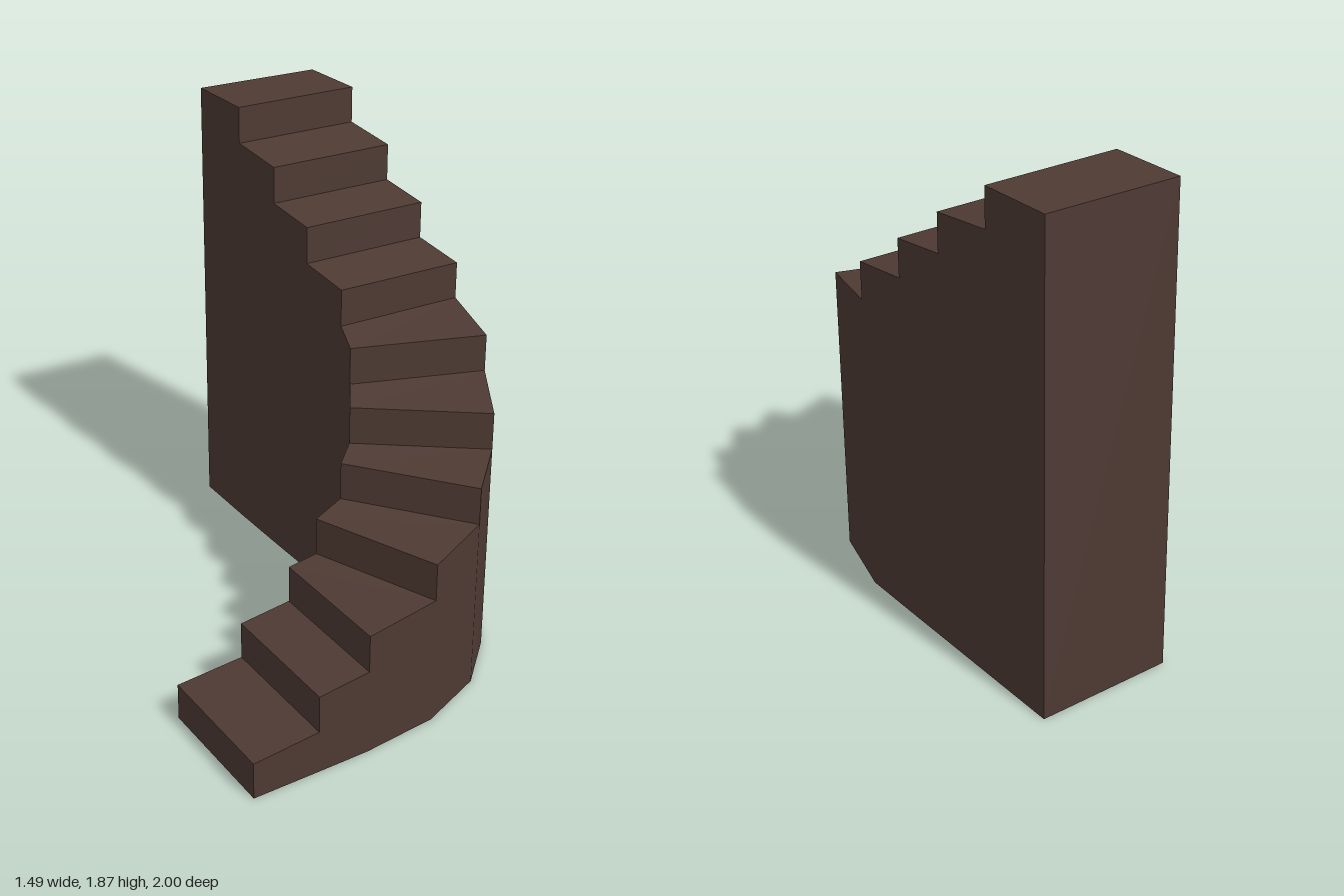
import * as THREE from 'three';

// Plan of the flight: [innerX, innerZ, outerX, outerZ] at each riser, bottom to top
const STATIONS = [
  [-0.75, 0.46, -0.75, 1.0], [-0.48, 0.46, -0.48, 0.995], [-0.27, 0.455, -0.27, 0.99],
  [-0.155, 0.46, 0.035, 0.955], [-0.02, 0.415, 0.305, 0.84], [0.07, 0.335, 0.495, 0.655],
  [0.152, 0.21, 0.66, 0.38], [0.205, 0.065, 0.742, 0.07], [0.205, -0.18, 0.743, -0.18],
  [0.203, -0.42, 0.743, -0.42], [0.203, -0.685, 0.743, -0.685], [0.207, -1.0, 0.743, -0.99],
];
const STEPS = STATIONS.length - 1;
const RISE = 0.1722;
const SLOPE = 0.024; // each tread climbs slightly towards the next riser

const frontY = (i) => 0.147 + RISE * i;
const backY = (i) => frontY(i) + (i < STEPS - 1 ? SLOPE : 0);
const inner = (i, y) => [STATIONS[i][0], y, STATIONS[i][1]];
const outer = (i, y) => [STATIONS[i][2], y, STATIONS[i][3]];

// Builds a geometry from quads; normals are flat unless given per corner
function quadGeometry(quads, normals) {
  const order = [0, 1, 2, 0, 2, 3];
  const flatten = (list) => list.flatMap((q) => order.flatMap((k) => q[k]));
  const geometry = new THREE.BufferGeometry();
  geometry.setAttribute('position', new THREE.Float32BufferAttribute(flatten(quads), 3));
  if (normals) geometry.setAttribute('normal', new THREE.Float32BufferAttribute(flatten(normals), 3));
  else geometry.computeVertexNormals();
  return geometry;
}

// Horizontal normal of a side wall, averaged over the neighbouring stations
function wallNormal(point, i, sign) {
  const sum = new THREE.Vector3();
  for (const k of [i - 1, i]) {
    if (k < 0 || k >= STEPS) continue;
    const a = point(k, 0), b = point(k + 1, 0);
    sum.add(new THREE.Vector3(a[2] - b[2], 0, b[0] - a[0]).normalize());
  }
  return sum.normalize().multiplyScalar(sign).toArray();
}

// Smooth curved wall that follows the stepped top edge
function wallGeometry(point, sign) {
  const quads = [], normals = [];
  for (let i = 0; i < STEPS; i++) {
    const quad = [point(i, 0), point(i + 1, 0), point(i + 1, backY(i)), point(i, frontY(i))];
    const n0 = wallNormal(point, i, sign), n1 = wallNormal(point, i + 1, sign);
    const normal = [n0, n1, n1, n0];
    quads.push(sign > 0 ? quad : [quad[1], quad[0], quad[3], quad[2]]);
    normals.push(sign > 0 ? normal : [n1, n0, n0, n1]);
  }
  return quadGeometry(quads, normals);
}

export function createModel() {
  const model = new THREE.Group();
  model.name = 'curvedStaircase';
  const wood = new THREE.MeshStandardMaterial({ color: 0x4e3a33, side: THREE.DoubleSide });
  wood.name = 'dark brown wood';

  const add = (name, geometry) => {
    const mesh = new THREE.Mesh(geometry, wood);
    mesh.name = name;
    model.add(mesh);
  };

  // Treads and risers
  for (let i = 0; i < STEPS; i++) {
    const f = frontY(i), b = backY(i), below = i ? backY(i - 1) : 0;
    add(`tread${i + 1}`, quadGeometry([[inner(i, f), outer(i, f), outer(i + 1, b), inner(i + 1, b)]]));
    add(`riser${i + 1}`, quadGeometry([[inner(i, below), outer(i, below), outer(i, f), inner(i, f)]]));
  }

  // Side walls, open underneath
  add('outerWall', wallGeometry(outer, 1));
  add('innerWall', wallGeometry(inner, -1));

  // Tall wall closing the top end
  const top = backY(STEPS - 1);
  add('endWall', quadGeometry([[outer(STEPS, 0), inner(STEPS, 0), inner(STEPS, top), outer(STEPS, top)]]));

  return model;
}
